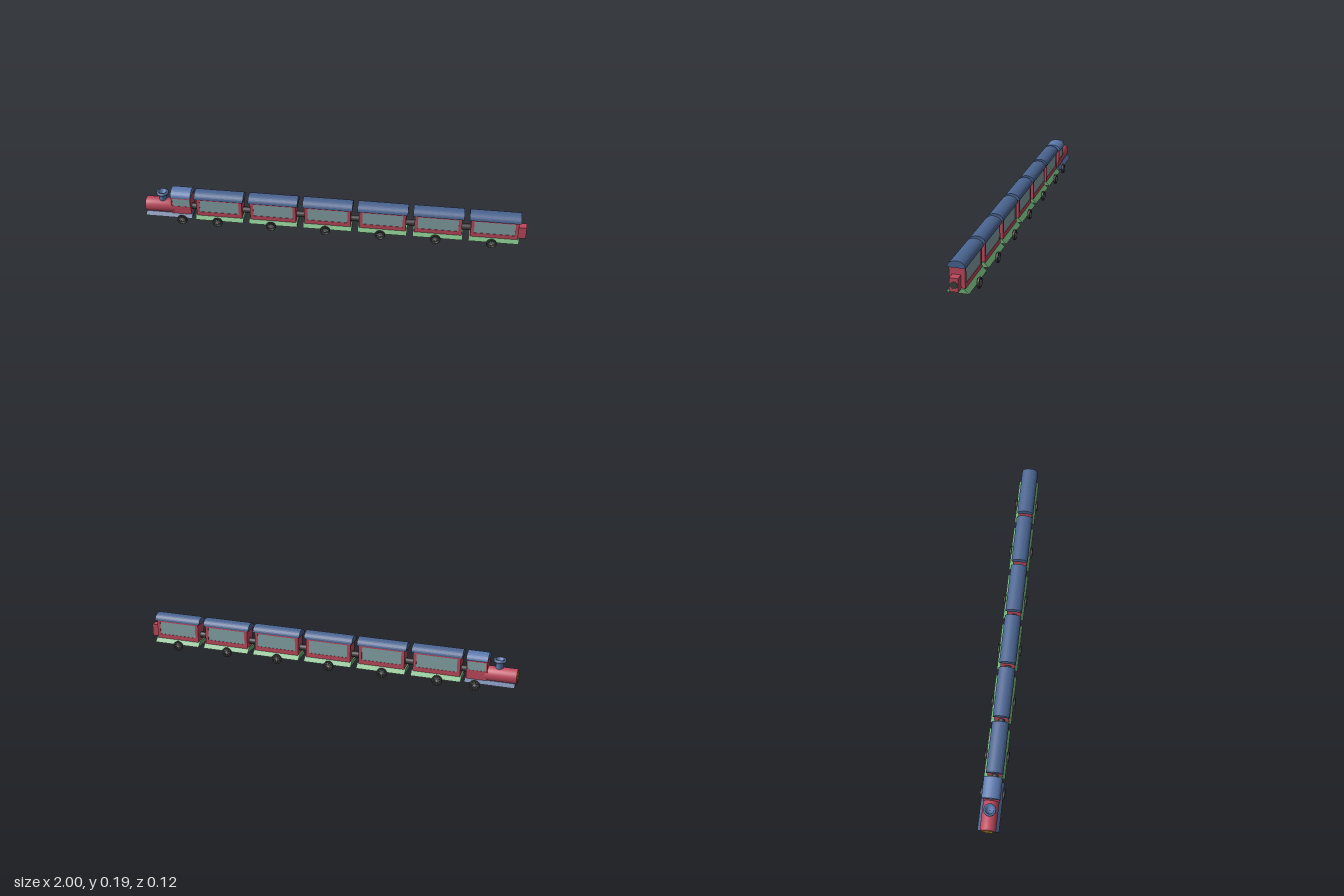
import * as THREE from 'three';

const paint = (color) => new THREE.MeshStandardMaterial({ color, side: THREE.DoubleSide });
const RED = paint(0xbf4a5e), BLUE = paint(0x4a6490), LIGHT_BLUE = paint(0x5c7aae), GREEN = paint(0x6fb077);
const GLASS = paint(0x86a5a8), DARK = paint(0x3c3c3e), STEEL = paint(0x9a9a9c), BRASS = paint(0xa88a3c);

function add(parent, name, geometry, material, x = 0, y = 0, z = 0) {
  const mesh = new THREE.Mesh(geometry, material);
  mesh.name = name;
  mesh.position.set(x, y, z);
  parent.add(mesh);
  return mesh;
}

const box = (w, h, d) => new THREE.BoxGeometry(w, h, d);
const rodX = (r, len, sides = 24) => new THREE.CylinderGeometry(r, r, len, sides).rotateZ(Math.PI / 2);

// Extrudes a [z, y] cross-section along x, centred on x = 0
function prismX(points, length) {
  const shape = new THREE.Shape(points.map(([z, y]) => new THREE.Vector2(-z, y)));
  return new THREE.ExtrudeGeometry(shape, { depth: length, bevelEnabled: false })
    .rotateY(Math.PI / 2).translate(-length / 2, 0, 0);
}

// Half-ellipse roof standing on y = 0.153
function roofGeometry(length, halfWidth) {
  const points = [];
  for (let i = 0; i <= 16; i++) {
    const a = (i / 16) * Math.PI;
    points.push([Math.cos(a) * halfWidth, 0.153 + Math.sin(a) * 0.033]);
  }
  return prismX(points, length);
}

// Rectangular frame with a window opening, facing z
function frameGeometry(w, y0, y1, holeW, h0, h1, depth) {
  const shape = new THREE.Shape();
  shape.moveTo(-w / 2, y0).lineTo(w / 2, y0).lineTo(w / 2, y1).lineTo(-w / 2, y1).closePath();
  const hole = new THREE.Path();
  hole.moveTo(-holeW / 2, h0).lineTo(-holeW / 2, h1).lineTo(holeW / 2, h1).lineTo(holeW / 2, h0).closePath();
  shape.holes.push(hole);
  return new THREE.ExtrudeGeometry(shape, { depth, bevelEnabled: false }).translate(0, 0, -depth / 2);
}

// Spoked wheel pair
function addWheels(parent, x) {
  for (const side of [1, -1]) {
    const wheel = new THREE.Group();
    wheel.name = side > 0 ? 'leftWheel' : 'rightWheel';
    wheel.position.set(x, 0.0265, side * 0.0565);
    const tyre = new THREE.LatheGeometry([
      [0.018, -0.006], [0.025, -0.006], [0.0265, -0.004], [0.0265, 0.004],
      [0.025, 0.006], [0.018, 0.006], [0.018, -0.006],
    ].map(([r, h]) => new THREE.Vector2(r, h)), 28).rotateX(Math.PI / 2);
    add(wheel, 'tyre', tyre, DARK);
    add(wheel, 'hub', new THREE.CylinderGeometry(0.007, 0.007, 0.011, 16).rotateX(Math.PI / 2), STEEL);
    for (let i = 0; i < 4; i++) {
      add(wheel, 'spoke', box(0.038, 0.004, 0.006), STEEL).rotation.z = (i * Math.PI) / 4;
    }
    parent.add(wheel);
  }
}

function makeCarriage() {
  const car = new THREE.Group();
  car.name = 'carriage';
  const zc = 0.003;
  add(car, 'body', box(0.242, 0.103, 0.066), RED, 0, 0.1035, zc);
  add(car, 'roof', roofGeometry(0.26, 0.043), BLUE, 0, 0, zc);
  add(car, 'skirt', prismX([[0.036, 0.055], [-0.03, 0.055], [-0.054, 0.032], [0.054, 0.032]], 0.256), GREEN);
  for (const side of [1, -1]) {
    add(car, 'windowFrame', frameGeometry(0.242, 0.052, 0.155, 0.208, 0.075, 0.145, 0.004), RED, 0, 0, zc + side * 0.035);
    add(car, 'window', box(0.208, 0.07, 0.002), GLASS, 0, 0.11, zc + side * 0.034);
  }
  addWheels(car, -0.01);
  return car;
}

function makeLocomotive() {
  const engine = new THREE.Group();
  engine.name = 'locomotive';
  // Boiler with a slightly rounded nose
  const profile = [[0, 0], [0.036, 0], [0.039, 0.002], [0.04, 0.006], [0.04, 0.16], [0, 0.16]];
  const boiler = new THREE.LatheGeometry(profile.map(([r, h]) => new THREE.Vector2(r, h)), 32).rotateZ(-Math.PI / 2);
  add(engine, 'boiler', boiler, RED, -0.997, 0.077, 0);
  add(engine, 'smokeboxDoor', rodX(0.03, 0.006, 32), BRASS, -0.997, 0.077, 0);
  add(engine, 'footplate', prismX([[0.035, 0.053], [-0.035, 0.053], [-0.054, 0.036], [0.054, 0.036]], 0.25), BLUE, -0.866, 0, 0);
  // Flared, hollow chimney
  const stack = [[0.02, 0.1], [0.02, 0.143], [0.031, 0.148], [0.031, 0.161], [0.02, 0.161], [0.016, 0.135], [0, 0.135]];
  add(engine, 'chimney', new THREE.LatheGeometry(stack.map(([r, h]) => new THREE.Vector2(r, h)), 28), LIGHT_BLUE, -0.905, 0, 0);
  // Cab
  add(engine, 'cab', box(0.104, 0.105, 0.074), RED, -0.799, 0.1025, 0);
  add(engine, 'cabRoof', roofGeometry(0.108, 0.047), LIGHT_BLUE, -0.799, 0, -0.001);
  for (const side of [1, -1]) {
    add(engine, 'cabWindowFrame', frameGeometry(0.104, 0.092, 0.155, 0.09, 0.1, 0.145, 0.004), RED, -0.799, 0, side * 0.039);
    add(engine, 'cabWindow', box(0.09, 0.045, 0.002), GLASS, -0.799, 0.1225, side * 0.039);
  }
  addWheels(engine, -0.795);
  return engine;
}

export function createModel() {
  const train = new THREE.Group();
  train.name = 'train';
  train.add(makeLocomotive());
  for (let i = 0; i < 6; i++) {
    const car = makeCarriage();
    car.position.x = -0.595 + i * 0.2865;
    train.add(car);
    // Coupling to the vehicle ahead
    add(train, 'coupling', rodX(0.016, 0.07), DARK, car.position.x - 0.143, 0.085, 0.005);
  }
  // Vestibule on the last carriage with a round end plate
  add(train, 'endVestibule', box(0.05, 0.066, 0.041), RED, 0.974, 0.085, 0.005);
  add(train, 'endPlate', rodX(0.018, 0.004), DARK, 0.998, 0.084, 0.005);
  return train;
}
